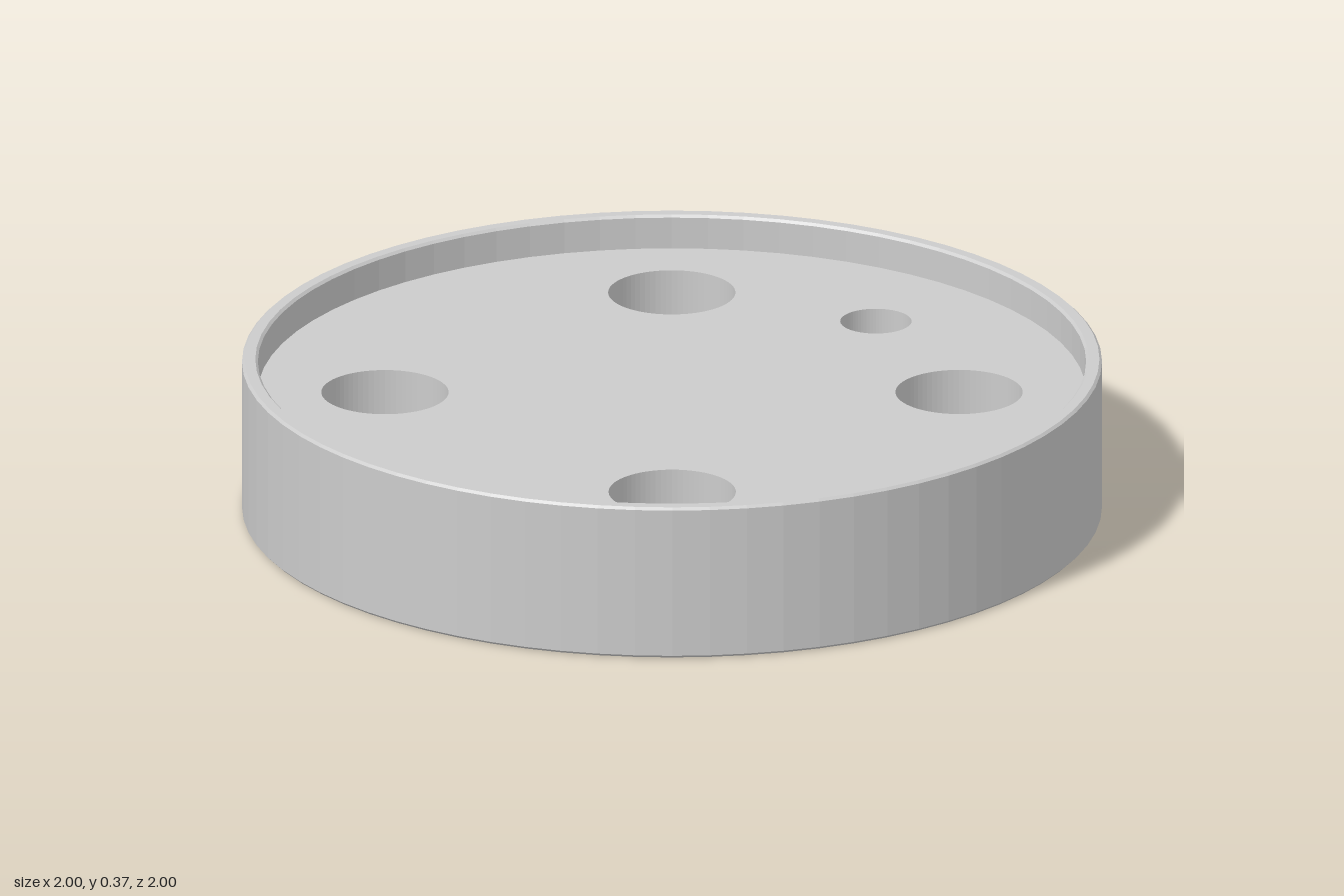
import * as THREE from 'three';

const TOP = 0.29, BOTTOM = 0.08, STEP = 0.172; // web faces and counterbore seat
const PILOT = 0.083, BORE = 0.148;
const RIM = 72, HOLE = 36;

// Hole centres as [x, z, counterbored]
const holes = [[0, -0.671, false]];
for (const sx of [-1, 1]) for (const sz of [-1, 1]) holes.push([sx * 0.472, sz * 0.472, true]);

export function createModel() {
  const group = new THREE.Group();
  const material = new THREE.MeshStandardMaterial({ color: 0xcccccc, flatShading: true });

  function add(name, geometry, x = 0, y = 0, z = 0) {
    const mesh = new THREE.Mesh(geometry, material);
    mesh.name = name;
    mesh.position.set(x, y, z);
    group.add(mesh);
  }

  function revolve(points, segments) {
    return new THREE.LatheGeometry(points.map(([r, y]) => new THREE.Vector2(r, y)), segments);
  }

  // Pierced disc facing up (side = 1) or down (side = -1)
  function disc(radius, side) {
    const shape = new THREE.Shape().absarc(0, 0, radius, 0, Math.PI * 2, false);
    for (const [x, z, bored] of holes) {
      const r = bored && side > 0 ? BORE : PILOT;
      shape.holes.push(new THREE.Path().absarc(x, -side * z, r, 0, Math.PI * 2, true));
    }
    return new THREE.ShapeGeometry(shape, RIM / 2).rotateX(-side * Math.PI / 2);
  }

  // Outer wall with thin upper lip, wide lower lip and small chamfers
  add('rim', revolve([
    [0.845, BOTTOM], [0.845, 0.006], [0.851, 0], [0.994, 0], [1, 0.006],
    [1, 0.366], [0.994, 0.372], [0.969, 0.372], [0.963, 0.366], [0.963, TOP],
  ], RIM), 0, 0, 0);

  // Recessed faces of the web
  add('upperFace', disc(0.963, 1), 0, TOP, 0);
  add('lowerFace', disc(0.845, -1), 0, BOTTOM, 0);

  // Hole walls, running downwards so that they face inwards
  for (const [x, z, bored] of holes) {
    const profile = bored
      ? [[BORE, TOP], [BORE, STEP], [PILOT, STEP], [PILOT, BOTTOM]]
      : [[PILOT, TOP], [PILOT, BOTTOM]];
    add(bored ? 'counterboredHole' : 'plainHole', revolve(profile, bored ? HOLE * 2 : HOLE * 2), x, 0, z);
  }
  return group;
}
